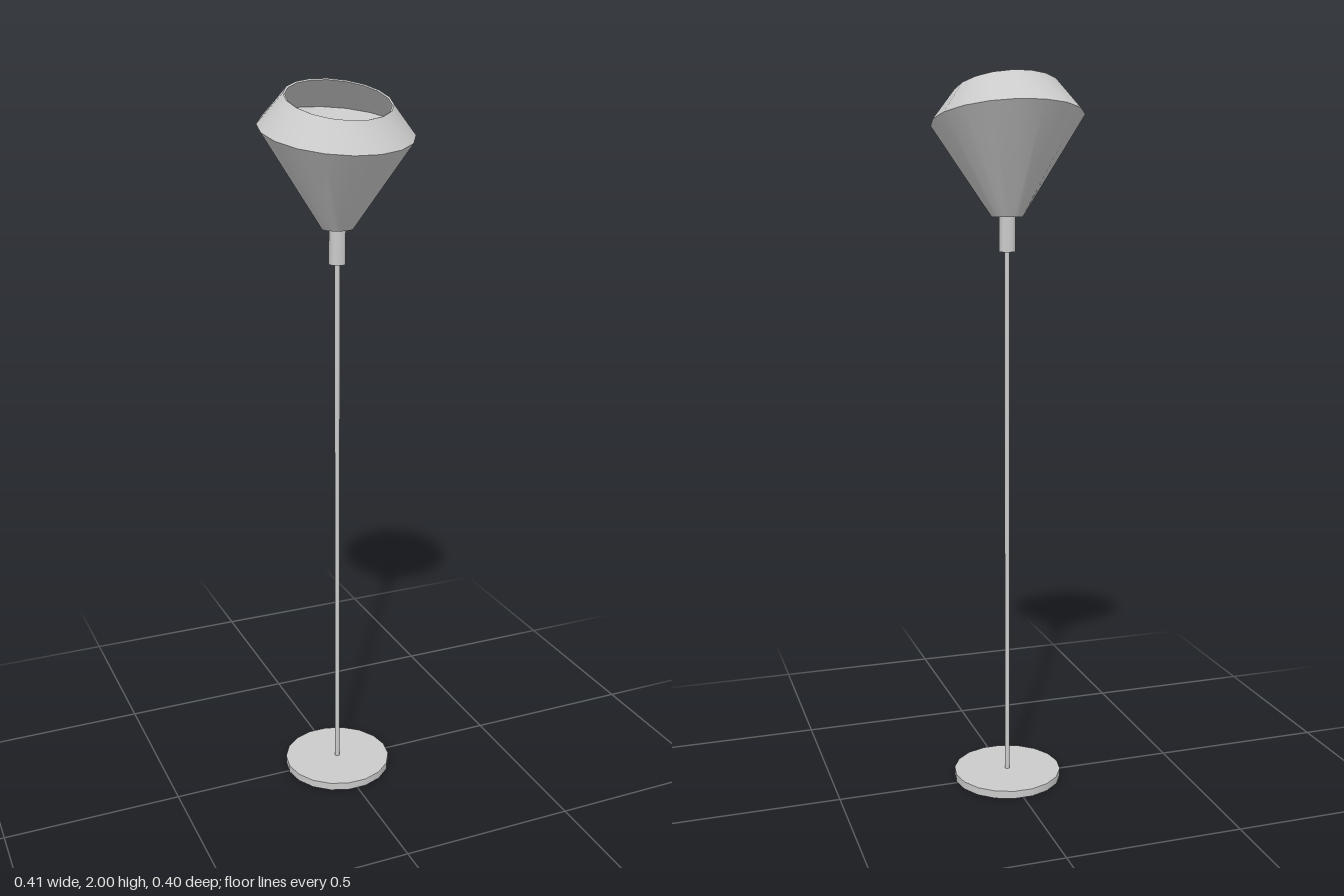
import * as THREE from 'three';
import { toCreasedNormals } from 'three/addons/utils/BufferGeometryUtils.js';

const SIDES = 18;
const AXIS_Z = 0.007; // the stem sits slightly in front of the shade's middle

export function createModel() {
  const group = new THREE.Group();
  const material = new THREE.MeshStandardMaterial({ color: 0xcccccc });

  const add = (name, geometry, y = 0, z = 0) => {
    const mesh = new THREE.Mesh(geometry, material);
    mesh.name = name;
    mesh.position.set(0, y, z);
    group.add(mesh);
    return mesh;
  };
  const rod = (name, radius, bottom, top, sides) => add(
    name,
    toCreasedNormals(new THREE.CylinderGeometry(radius, radius, top - bottom, sides, 1, false, Math.PI / 2), 0.6),
    (bottom + top) / 2, AXIS_Z);

  // Base disc, thin pole and lamp socket
  rod('base', 0.155, 0, 0.022, SIDES);
  rod('pole', 0.007, 0.02, 1.54, 12);
  rod('socket', 0.023, 1.53, 1.63, 16);

  // Bulb nested in the bottom of the shade
  add('bulb', new THREE.SphereGeometry(0.036, 20, 14), 1.655, 0.005);

  // Shade: a thin closed shell whose rings tilt more and more towards the mouth.
  // Each ring: radius, height, centre z, tilt (drop in y per unit of z)
  const rings = [
    [0, 1.624, AXIS_Z, 0],
    [0.043, 1.624, AXIS_Z, 0],
    [0.207, 1.878, 0.001, 0.22],
    [0.143, 1.956, 0.016, 0.315],
    [0.138, 1.954, 0.016, 0.315],
    [0.2, 1.878, 0.001, 0.22],
    [0.038, 1.63, AXIS_Z, 0],
    [0, 1.63, AXIS_Z, 0],
  ];
  const profile = rings.map(([r, y]) => new THREE.Vector2(r, y));
  const shade = new THREE.LatheGeometry(profile, SIDES, Math.PI / 2);
  const pos = shade.attributes.position;
  for (let i = 0; i < pos.count; i++) {
    const [, y, centreZ, tilt] = rings[i % rings.length];
    const z = pos.getZ(i) * Math.cos(Math.atan(tilt));
    pos.setY(i, y - tilt * z);
    pos.setZ(i, z + centreZ);
  }
  add('shade', toCreasedNormals(shade, 0.6));

  return group;
}
